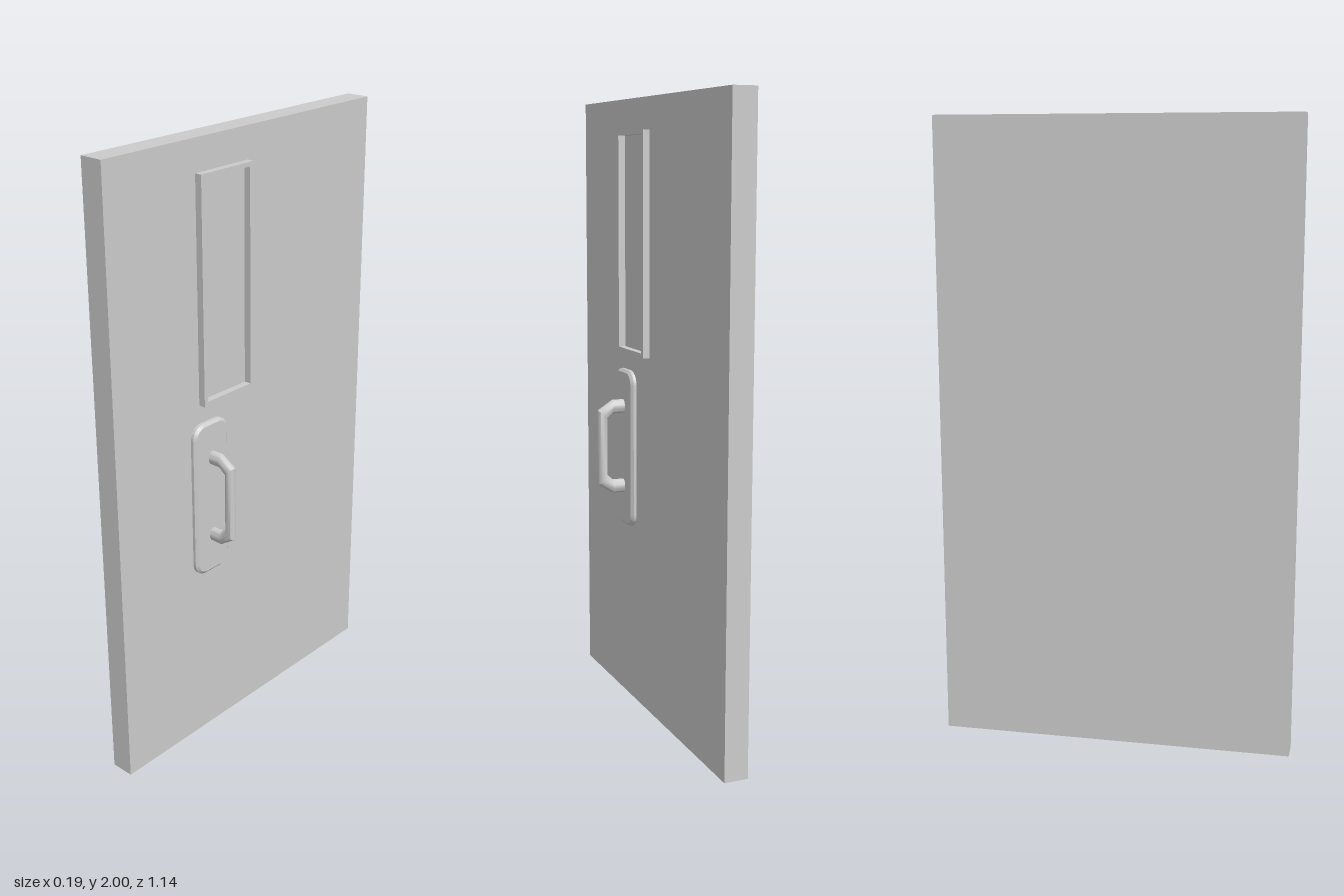
import * as THREE from 'three';
import { toCreasedNormals } from 'three/addons/utils/BufferGeometryUtils.js';

const material = new THREE.MeshStandardMaterial({ color: 0xcccccc });
const FACE = -0.018; // x of the door's outer face

function add(group, name, geometry) {
  const mesh = new THREE.Mesh(geometry, material);
  mesh.name = name;
  group.add(mesh);
  return mesh;
}

// Rectangle outline centred on the origin, with optional rounded corners
function rectangle(path, w, h, r = 0) {
  const x = w / 2, y = h / 2;
  if (!r) {
    return path.moveTo(-x, -y).lineTo(x, -y).lineTo(x, y).lineTo(-x, y).closePath();
  }
  path.moveTo(-x + r, -y);
  path.absarc(x - r, -y + r, r, -Math.PI / 2, 0);
  path.absarc(x - r, y - r, r, 0, Math.PI / 2);
  path.absarc(-x + r, y - r, r, Math.PI / 2, Math.PI);
  path.absarc(-x + r, -y + r, r, Math.PI, Math.PI * 1.5);
  return path;
}

// Bent grip: elliptical rings spanning matching outer and inner points (x, y)
function gripGeometry(outer, inner, halfWidth, sides = 20) {
  const positions = [], indices = [];
  outer.forEach(([ox, oy], i) => {
    const cx = (ox + inner[i][0]) / 2, cy = (oy + inner[i][1]) / 2;
    for (let j = 0; j < sides; j++) {
      const a = (j / sides) * Math.PI * 2, c = Math.cos(a);
      positions.push(cx + (ox - cx) * c, cy + (oy - cy) * c, halfWidth * Math.sin(a));
      if (i < outer.length - 1) {
        const k = (j + 1) % sides, p = i * sides, q = p + sides;
        indices.push(p + j, p + k, q + j, p + k, q + k, q + j);
      }
    }
  });
  const geometry = new THREE.BufferGeometry();
  geometry.setAttribute('position', new THREE.Float32BufferAttribute(positions, 3));
  geometry.setIndex(indices);
  return toCreasedNormals(geometry, 0.6);
}

export function createModel() {
  const door = new THREE.Group();
  door.name = 'door';

  // Plain slab
  const slab = add(door, 'doorSlab', new THREE.BoxGeometry(0.077, 2, 1.14));
  slab.position.set(FACE - 0.0385, 1, 0);

  // Raised window frame
  const frameShape = rectangle(new THREE.Shape(), 0.22, 0.71);
  frameShape.holes.push(rectangle(new THREE.Path(), 0.192, 0.682));
  const frame = add(door, 'windowFrame',
    new THREE.ExtrudeGeometry(frameShape, { depth: 0.023, bevelEnabled: false }).rotateY(Math.PI / 2));
  frame.position.set(FACE, 1.545, 0.11);

  // Rounded back plate with a chamfered front; its rear chamfer sits inside the slab
  const plateShape = rectangle(new THREE.Shape(), 0.15, 0.525, 0.045);
  const plateGeometry = new THREE.ExtrudeGeometry(plateShape, {
    depth: 0.02, bevelThickness: 0.008, bevelSize: 0.009, bevelOffset: -0.009,
    bevelSegments: 1, curveSegments: 8,
  }).rotateY(Math.PI / 2);
  const plate = add(door, 'handlePlate', toCreasedNormals(plateGeometry, 0.5));
  plate.position.set(-0.028, 0.8675, 0.185);

  // Pull handle, mirrored top to bottom
  const mirror = (points) => [...points, ...points.map(([x, y]) => [x, -y]).reverse()];
  const outer = mirror([[-0.006, 0.158], [0.038, 0.158], [0.09, 0.125]]);
  const inner = mirror([[-0.006, 0.112], [0.038, 0.112], [0.057, 0.095]]);
  const handle = add(door, 'pullHandle', gripGeometry(outer, inner, 0.017));
  handle.position.set(0, 0.873, 0.184);

  return door;
}
